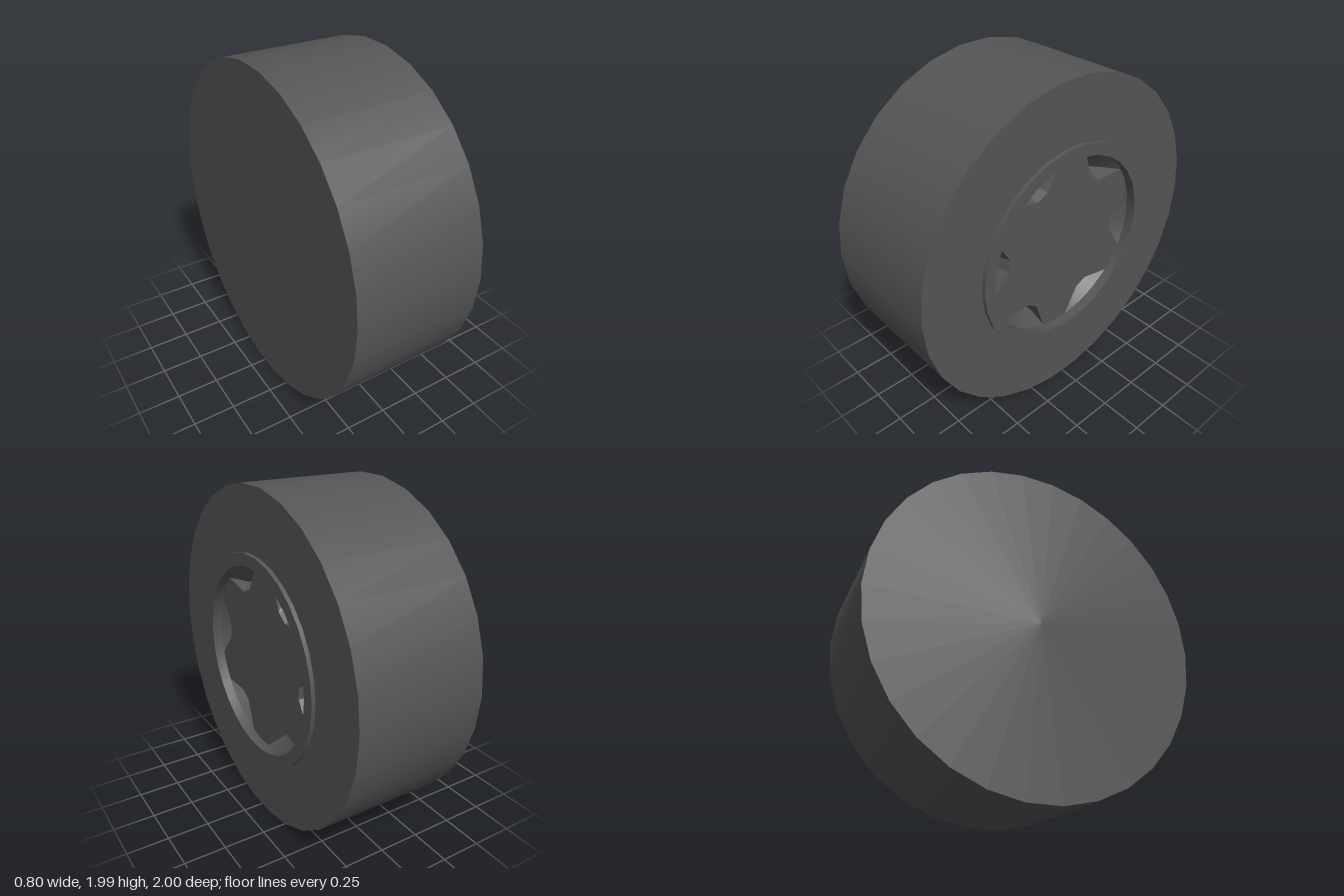
import * as THREE from 'three';
import { toCreasedNormals } from 'three/addons/utils/BufferGeometryUtils.js';

const SIDES = 30;
const AXLE_Y = Math.cos(Math.PI / SIDES); // flat edge of the tyre rests on y = 0
const rubber = new THREE.MeshStandardMaterial({ name: 'dark grey', color: 0x555555 });

// Solid of revolution around the x axis; points are [radius, x]
function turned(name, profile) {
  const points = profile.map(([r, x]) => new THREE.Vector2(r, x));
  const geometry = new THREE.LatheGeometry(points, SIDES).rotateZ(-Math.PI / 2);
  const mesh = new THREE.Mesh(toCreasedNormals(geometry, 0.4), rubber);
  mesh.name = name;
  return mesh;
}

// One star outline: six spoke tips with a notch between each pair
function starLoop(notchRadius, notchHalfAngle, z) {
  const loop = [];
  for (let i = 0; i < 6; i++) {
    const notch = -5.5 + i * 60;
    const corners = [
      [-notchHalfAngle, notchRadius], [notchHalfAngle, notchRadius],
      [20.5, 0.555], [30, 0.557], [39.5, 0.555],
    ];
    for (const [offset, r] of corners) {
      const a = THREE.MathUtils.degToRad(notch + offset);
      loop.push([r * Math.cos(a), r * Math.sin(a), z]);
    }
  }
  return loop;
}

// Six-spoked hub face with bevelled notch walls
function starHub() {
  const front = starLoop(0.41, 5.5, 0.34);
  const back = starLoop(0.45, 4, 0.2);
  const positions = [];
  front.forEach((a, i) => {
    const j = (i + 1) % front.length;
    positions.push(0, 0, 0.34, ...a, ...front[j]);
    positions.push(...a, ...back[i], ...back[j], ...a, ...back[j], ...front[j]);
  });
  const geometry = new THREE.BufferGeometry();
  geometry.setAttribute('position', new THREE.Float32BufferAttribute(positions, 3));
  geometry.rotateY(Math.PI / 2);
  geometry.computeVertexNormals();
  const mesh = new THREE.Mesh(geometry, rubber);
  mesh.name = 'starHub';
  return mesh;
}

export function createModel() {
  const wheel = new THREE.Group();
  wheel.name = 'wheel';
  // Tyre: closed back, flat outer wall
  wheel.add(turned('tyre', [[0, -0.4], [1, -0.4], [1, 0.376], [0.62, 0.376]]));
  // Raised rim ring with a tapering bowl inside
  wheel.add(turned('rimBowl', [
    [0.628, 0.37], [0.628, 0.4], [0.556, 0.4], [0.556, 0.34], [0.44, 0.2], [0, 0.2],
  ]));
  wheel.add(starHub());
  wheel.children.forEach((part) => { part.position.y = AXLE_Y; });
  return wheel;
}
